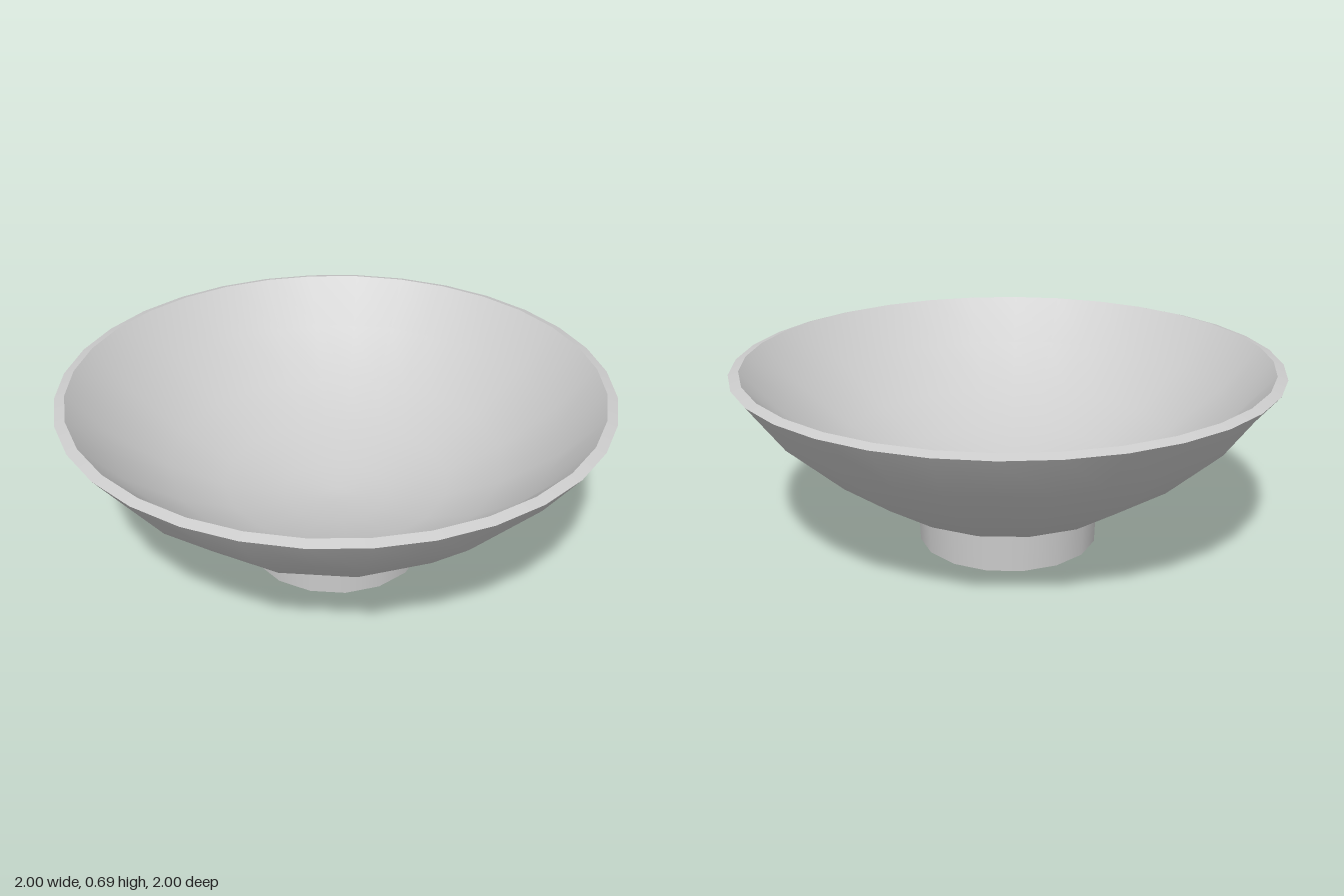
import * as THREE from 'three';

const SIDES = 32;
const CHORD = Math.cos(Math.PI / 16);

export function createModel() {
  const group = new THREE.Group();
  const glaze = new THREE.MeshStandardMaterial({ color: 0xcccccc });
  glaze.name = 'plainGrey';

  // Each profile is its own lathe, so edges between parts stay sharp.
  // Rings below the rim have 16 sides: every second column lies on a chord.
  const lathe = (name, profile) => {
    const points = profile.map(([r, y]) => new THREE.Vector2(r, y));
    const geometry = new THREE.LatheGeometry(points, SIDES);
    const pos = geometry.attributes.position;
    for (let column = 1; column < SIDES; column += 2) {
      profile.forEach(([, y], ring) => {
        if (y > 0.68) return;
        const i = column * profile.length + ring;
        pos.setXYZ(i, pos.getX(i) * CHORD, y, pos.getZ(i) * CHORD);
      });
    }
    const mesh = new THREE.Mesh(geometry, glaze);
    mesh.name = name;
    group.add(mesh);
  };

  // Bowl: profiles run up the outside, over the rim and down the inside
  lathe('bowlOutside', [[0.33, 0.14], [0.455, 0.19], [0.67, 0.328], [0.873, 0.512], [1, 0.684]]);
  lathe('bowlRim', [[1, 0.684], [0.963, 0.695]]);
  lathe('bowlInside', [[0.963, 0.695], [0.82, 0.535], [0.62, 0.384], [0.42, 0.287], [0.2, 0.228], [0.05, 0.212], [0, 0.212]]);

  // Hollow foot ring with a recessed base
  lathe('footBase', [[0, 0.065], [0.288, 0.065]]);
  lathe('footInside', [[0.288, 0.065], [0.31, 0]]);
  lathe('footEdge', [[0.31, 0], [0.335, 0]]);
  lathe('footOutside', [[0.335, 0], [0.34, 0.145]]);

  return group;
}
